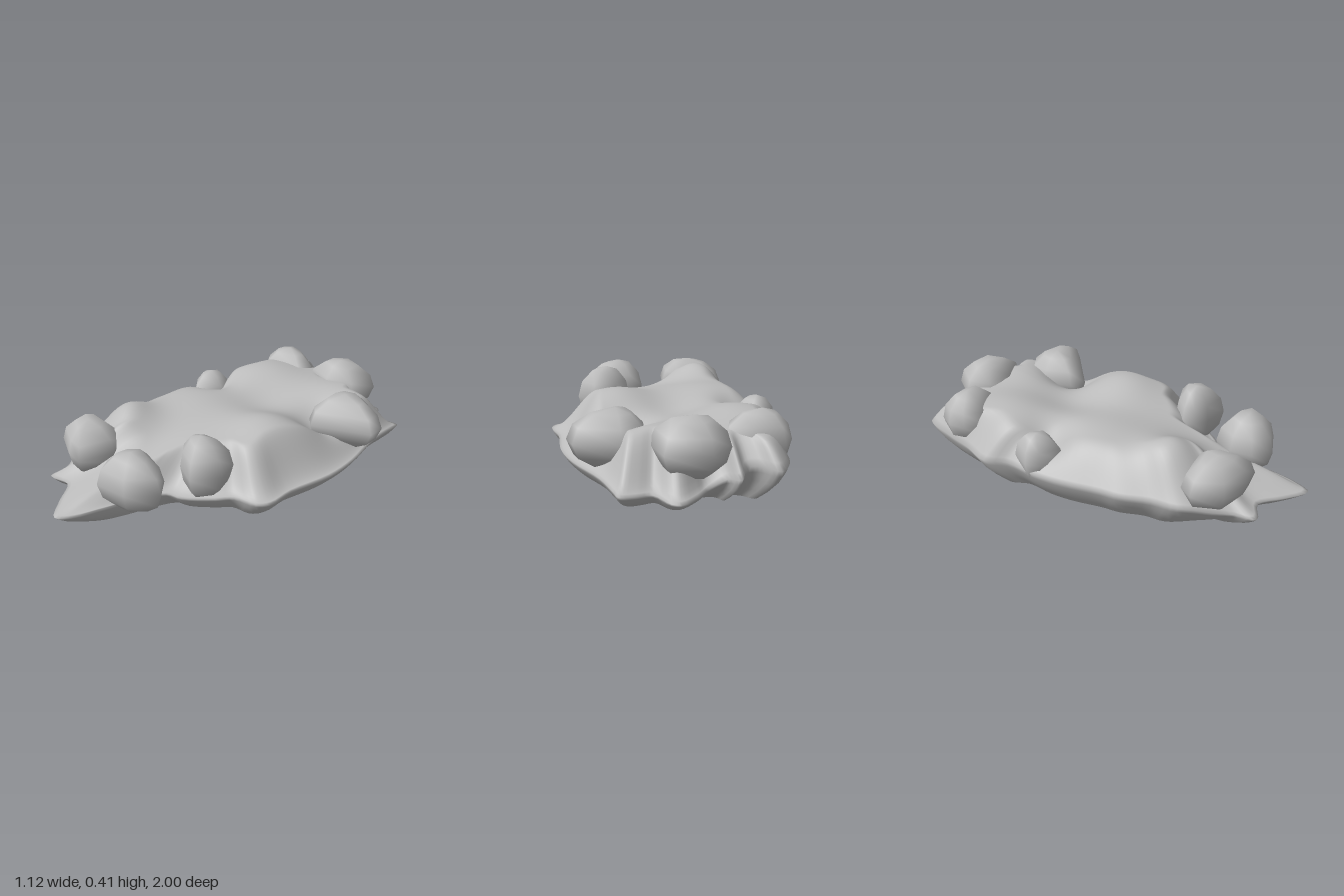
import * as THREE from 'three';

const { lerp, smoothstep, degToRad } = THREE.MathUtils;
const stone = new THREE.MeshStandardMaterial({ color: 0xbcbcbc });
stone.name = 'greyStone';

// Surface through closed rings (anticlockwise from above, listed upwards), with optional end points
function loft(rings, bottomPoint, topPoint) {
  const n = rings[0].length, pos = [], idx = [];
  rings.forEach(r => r.forEach(p => pos.push(...p)));
  for (let i = 0; i < rings.length - 1; i++) {
    for (let j = 0; j < n; j++) {
      const k = (j + 1) % n, a = i * n + j, b = i * n + k;
      idx.push(a, b, a + n, b, b + n, a + n);
    }
  }
  if (bottomPoint) {
    const c = pos.push(...bottomPoint) / 3 - 1;
    for (let j = 0; j < n; j++) idx.push(c, (j + 1) % n, j);
  }
  if (topPoint) {
    const c = pos.push(...topPoint) / 3 - 1, o = (rings.length - 1) * n;
    for (let j = 0; j < n; j++) idx.push(c, o + j, o + (j + 1) % n);
  }
  const g = new THREE.BufferGeometry();
  g.setAttribute('position', new THREE.Float32BufferAttribute(pos, 3));
  g.setIndex(idx);
  g.computeVertexNormals();
  return g;
}

// Jagged rim of the mound as x, z
const rim = [
  [-0.1, 1], [-0.05, 0.94], [0, 0.8], [0.03, 0.68], [0.1, 0.5], [0.18, 0.47], [0.3, 0.36], [0.36, 0.29],
  [0.48, 0.26], [0.52, 0.2], [0.51, 0.05], [0.54, -0.2], [0.52, -0.4], [0.45, -0.65], [0.43, -0.83],
  [0.42, -0.89], [0.35, -0.89], [0.27, -0.88], [0.22, -0.98], [0.18, -1], [0.09, -0.94], [0.02, -0.88],
  [-0.06, -0.88], [-0.1, -0.95], [-0.15, -0.88], [-0.21, -0.9], [-0.27, -0.97], [-0.33, -0.91],
  [-0.38, -0.8], [-0.42, -0.68], [-0.5, -0.54], [-0.48, -0.42], [-0.53, -0.25], [-0.55, -0.1],
  [-0.55, 0.1], [-0.56, 0.2], [-0.54, 0.35], [-0.55, 0.48], [-0.5, 0.6], [-0.43, 0.72], [-0.42, 0.82],
  [-0.3, 0.8], [-0.2, 0.91],
];

// Soft humps and hollows on the mound: x, z, height, spread
const humps = [
  [-0.24, -0.52, 0.065, 0.17], [0.22, -0.05, 0.07, 0.14], [-0.27, 0, 0.045, 0.17], [-0.36, 0.42, 0.11, 0.12],
  [0.2, -0.64, 0.04, 0.14], [0, -0.27, -0.03, 0.12], [-0.05, 0.5, -0.05, 0.15], [-0.08, 0.72, -0.06, 0.14],
  [-0.39, -0.24, -0.08, 0.08], [0.3, -0.4, -0.11, 0.1],
];

// Seven boulders: bottom y, top y, outline as x, z
const boulders = [
  [0.07, 0.37, [[-0.09, 0.71], [-0.08, 0.6], [0, 0.51], [0.16, 0.55], [0.25, 0.64], [0.14, 0.77], [-0.03, 0.8]]],
  [0.08, 0.4, [[0.07, 0.37], [0.07, 0.31], [0.15, 0.25], [0.29, 0.23], [0.345, 0.35], [0.26, 0.48], [0.13, 0.43]]],
  [0.11, 0.39, [[0.2, -0.53], [0.23, -0.63], [0.35, -0.67], [0.55, -0.57], [0.56, -0.47], [0.28, -0.32], [0.22, -0.38]]],
  [0.13, 0.41, [[-0.09, -0.71], [-0.09, -0.85], [0.03, -0.96], [0.23, -0.9], [0.24, -0.7], [0.07, -0.66]]],
  [0.12, 0.4, [[-0.41, -0.69], [-0.4, -0.78], [-0.34, -0.85], [-0.19, -0.82], [-0.09, -0.75], [-0.12, -0.66], [-0.34, -0.59]]],
  [0.08, 0.34, [[-0.52, -0.22], [-0.535, -0.29], [-0.46, -0.38], [-0.38, -0.36], [-0.32, -0.25], [-0.43, -0.13]]],
  [0.1, 0.365, [[-0.54, 0.53], [-0.48, 0.47], [-0.26, 0.48], [-0.2, 0.58], [-0.24, 0.76], [-0.34, 0.75], [-0.5, 0.68]]],
];

const CX = -0.02; // centre the mound rings shrink towards

function crownHeight(x, z) {
  let h = 0.295;
  for (const [hx, hz, amp, s] of humps) h += amp * Math.exp(-((x - hx) ** 2 + (z - hz) ** 2) / (2 * s * s));
  return h;
}

// How bulging the bank is: 1 on the -x side and its back lobes, less on the tongue, 0 on the low lip
function puffAt(p) {
  return smoothstep(-p.x, -0.06, 0.2) * (1 - 0.6 * smoothstep(p.z, 0.5, 0.85));
}

// The tall, steep lobes at the back
function lobeAt(p) {
  return puffAt(p) * smoothstep(-p.z, 0.65, 0.9);
}

function rimHeight(p) {
  const tongue = smoothstep(p.z, 0.5, 0.8);
  return 0.1 + 0.06 * puffAt(p) * (1 - tongue) + 0.03 * lobeAt(p)
    + 0.015 * smoothstep(p.x, 0.2, 0.5) - 0.01 * smoothstep(Math.abs(p.z), 0.8, 1);
}

// Point of the mound top at fraction t of the way out to rim point p
function topPointAt(p, t) {
  const x = CX + (p.x - CX) * t, z = p.z * t;
  const r = Math.hypot(p.x - CX, p.z), nx = (p.x - CX) / r, nz2 = (p.z / r) ** 2;
  const slope = lerp(0.38 + 0.04 * nx, p.z > 0 ? 0.5 : 0.22, nz2) * (1 - 0.35 * lobeAt(p));
  const s = Math.min(1, (1 - t) / slope);
  const rise = lerp(smoothstep(s, 0, 1), Math.sin(s * Math.PI / 2), puffAt(p));
  return [x, lerp(rimHeight(p), crownHeight(x, z), rise), z];
}

function makeMound() {
  const group = new THREE.Group();
  group.name = 'mound';
  const curve = new THREE.CatmullRomCurve3(rim.map(([x, z]) => new THREE.Vector3(x, 0, z)), true, 'centripetal');
  const edge = Array.from({ length: 172 }, (_, i) => curve.getPoint(i / 172));

  // Underside flare from the flat foot out to the rim
  const rings = [[0.82, 0], [0.89, 0.28], [0.95, 0.58], [0.985, 0.84]].map(([s, f]) =>
    edge.map(p => [CX + (p.x - CX) * s, rimHeight(p) * f, p.z * s]));
  const foot = rings[0];
  // Humped top from the rim to the middle
  for (let i = 0; i <= 39; i++) rings.push(edge.map(p => topPointAt(p, 1 - i / 40)));
  const body = new THREE.Mesh(loft(rings, null, [CX, crownHeight(CX, 0), 0]), stone);
  body.name = 'moundBody';

  const base = new THREE.Mesh(loft([foot], [CX, 0, 0], null), stone);
  base.name = 'flatBase';
  group.add(body, base);
  return group;
}

// Rounded stone: an angular outline shrunk along a circular arc above and below
function makeBoulder([y0, y1, points]) {
  const outline = [...points].reverse(), n = outline.length;
  const cx = outline.reduce((s, p) => s + p[0], 0) / n, cz = outline.reduce((s, p) => s + p[1], 0) / n;
  const mid = (y0 + y1) / 2, half = (y1 - y0) / 2;
  const rings = [-60, -30, 0, 30, 60].map(deg => {
    const a = degToRad(deg), c = Math.cos(a);
    return outline.map(([x, z]) => [cx + (x - cx) * c, mid + half * Math.sin(a), cz + (z - cz) * c]);
  });
  return new THREE.Mesh(loft(rings, [cx, y0, cz], [cx, y1, cz]), stone);
}

export function createModel() {
  const model = new THREE.Group();
  model.name = 'rockyMound';
  model.add(makeMound());
  boulders.forEach((b, i) => {
    const boulder = makeBoulder(b);
    boulder.name = `boulder${i + 1}`;
    model.add(boulder);
  });
  return model;
}
